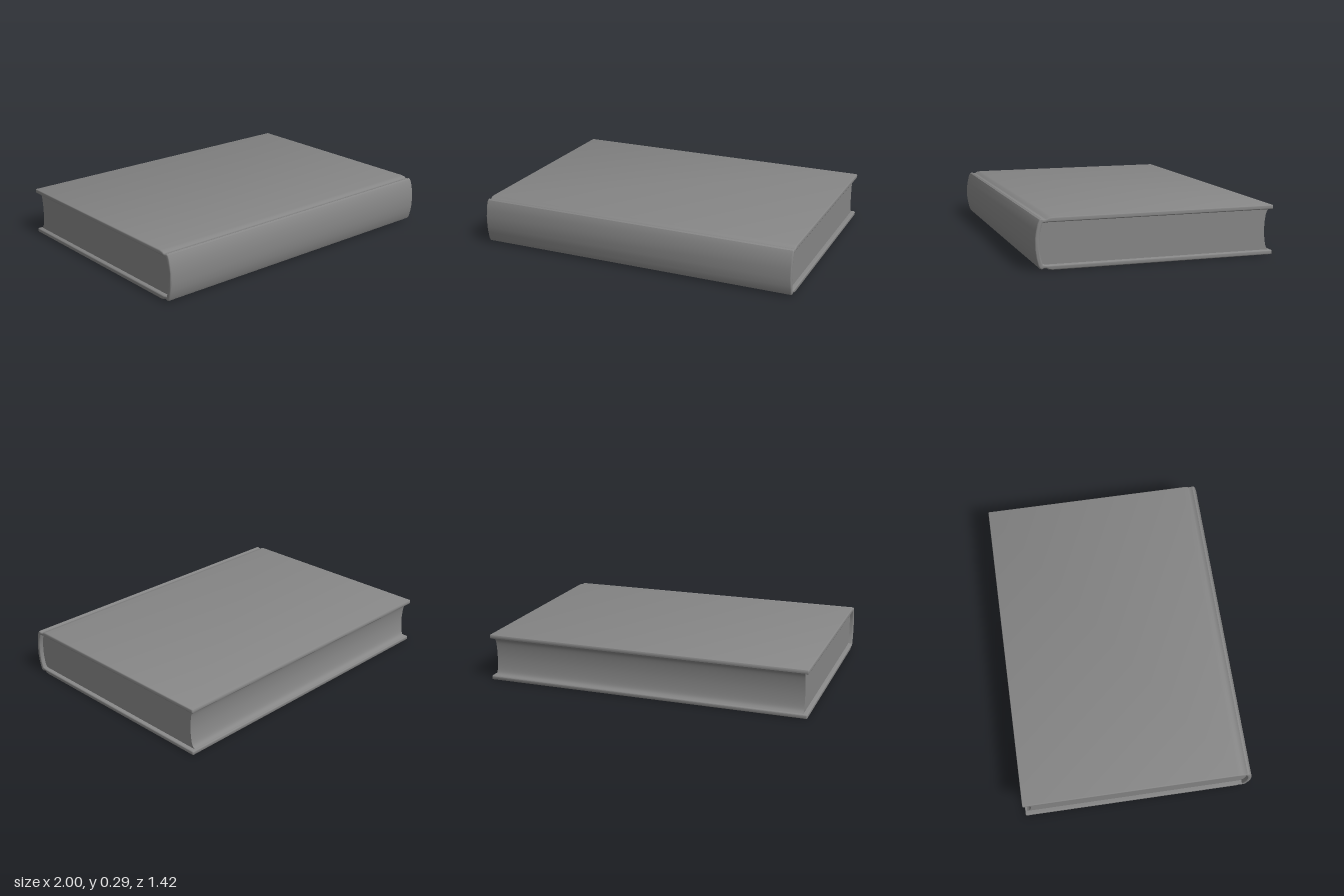
import * as THREE from 'three';
import { toCreasedNormals } from 'three/addons/utils/BufferGeometryUtils.js';

const MID = 0.146; // half of the book's height

// Extrude a (z, y) profile along x, centred on x = 0
function extrudeAlongX(shape, length, bevel) {
  const geo = new THREE.ExtrudeGeometry(shape, {
    depth: length - 2 * bevel, curveSegments: 12, bevelEnabled: bevel > 0,
    bevelThickness: bevel, bevelSize: bevel, bevelOffset: -bevel, bevelSegments: 3,
  });
  geo.translate(0, 0, -(length - 2 * bevel) / 2);
  geo.rotateY(-Math.PI / 2);
  return toCreasedNormals(geo, 0.6);
}

// Complete an upper half profile with its mirror image below
function mirrored(upper) {
  return [...upper, ...upper.slice().reverse().map(([z, y]) => [z, 2 * MID - y])];
}

// Smooth curve through points, sampled
function smooth(points, n) {
  return new THREE.SplineCurve(points.map(p => new THREE.Vector2(...p))).getPoints(n);
}

export function createModel() {
  const book = new THREE.Group();
  book.name = 'book';
  const grey = new THREE.MeshStandardMaterial({ color: 0x868686 });
  grey.name = 'grey';

  const add = (name, geo) => {
    const mesh = new THREE.Mesh(geo, grey);
    mesh.name = name;
    book.add(mesh);
  };

  // Hardback case: two boards, hinge grooves and a rounded spine
  const outer = mirrored([
    [-0.702, 0.292], [0.61, 0.292], [0.632, 0.289], [0.645, 0.281], [0.658, 0.281],
    [0.67, 0.286], [0.682, 0.281], [0.692, 0.262], [0.702, 0.22], [0.708, 0.18],
  ]);
  const inner = mirrored([
    [-0.702, 0.266], [0.64, 0.264], [0.664, 0.26], [0.676, 0.22], [0.682, 0.18],
  ]).reverse();
  const caseShape = new THREE.Shape();
  caseShape.moveTo(-0.71, 0.284);
  caseShape.quadraticCurveTo(-0.71, 0.292, -0.702, 0.292);
  outer.slice(1).forEach(p => caseShape.lineTo(...p));
  caseShape.quadraticCurveTo(-0.71, 0, -0.71, 0.008);
  caseShape.lineTo(-0.71, 0.018);
  caseShape.quadraticCurveTo(-0.71, 0.026, -0.702, 0.026);
  inner.slice(1).forEach(p => caseShape.lineTo(...p));
  caseShape.quadraticCurveTo(-0.71, 0.266, -0.71, 0.274);
  add('cover', extrudeAlongX(caseShape, 2, 0.007));

  // Page block: rounded back, hollow fore edge
  const pages = new THREE.Shape([
    ...smooth([[0.655, 0.268], [0.674, 0.23], [0.684, MID], [0.674, 0.062], [0.655, 0.024]], 16),
    ...smooth([[-0.7, 0.024], [-0.681, 0.042], [-0.671, 0.085], [-0.667, MID],
      [-0.671, 0.207], [-0.681, 0.25], [-0.7, 0.268]], 24),
  ]);
  add('pages', extrudeAlongX(pages, 1.95, 0));

  return book;
}
